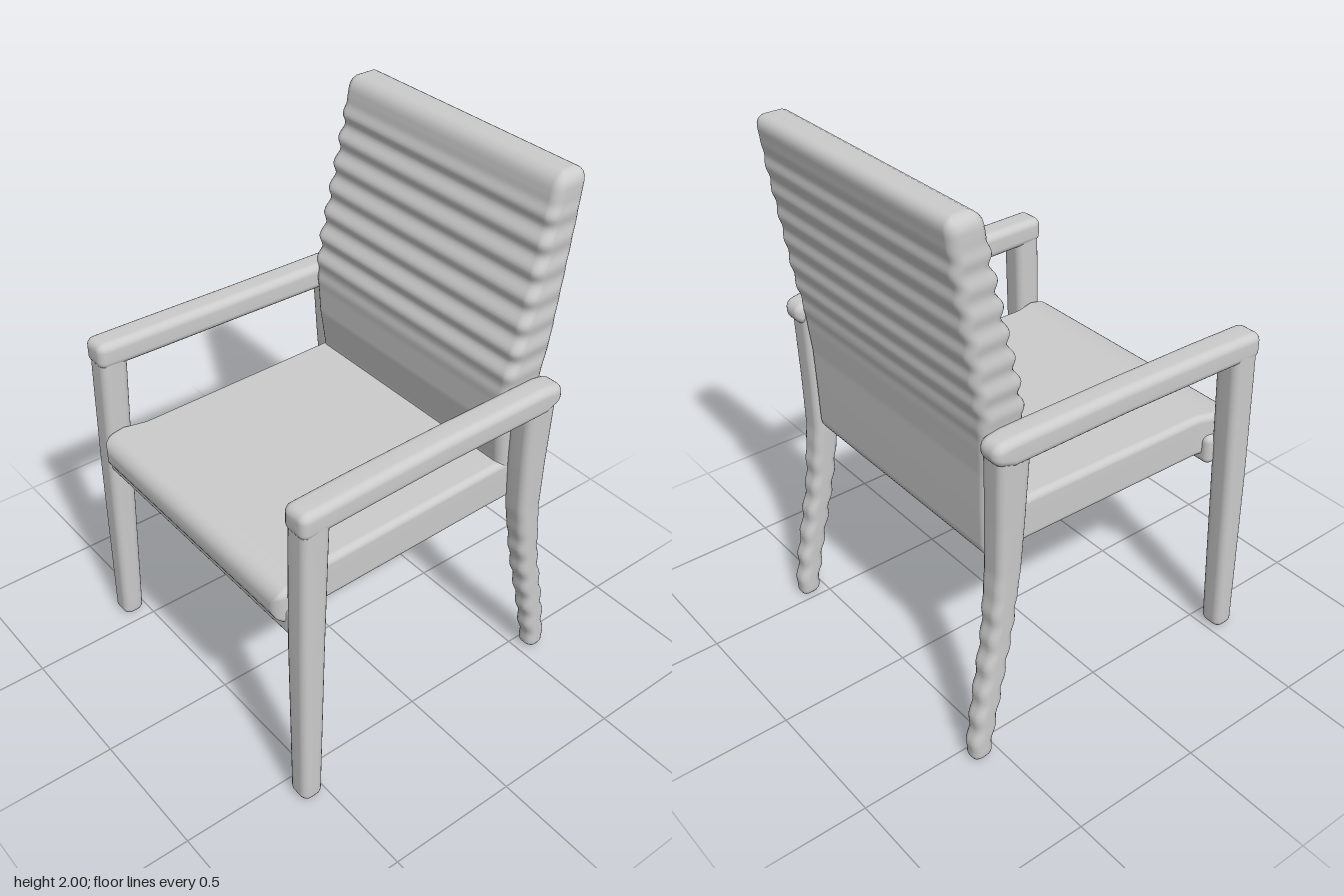
import * as THREE from 'three';

const material = new THREE.MeshStandardMaterial({ color: 0xcccccc });
const ARC = 5; // segments per rounded corner

// Rounded rectangle [a0,a1] x [b0,b1] as a counter-clockwise list of points.
function roundedRect([a0, a1, b0, b1], r) {
  const points = [];
  const corners = [[a1 - r, b1 - r], [a0 + r, b1 - r], [a0 + r, b0 + r], [a1 - r, b0 + r]];
  corners.forEach(([a, b], c) => {
    for (let i = 0; i <= ARC; i++) {
      const angle = (c + i / ARC) * Math.PI / 2;
      points.push([a + r * Math.cos(angle), b + r * Math.sin(angle)]);
    }
  });
  return points;
}

// Interpolates rows of [t, ...values] at t.
function sample(rows, t) {
  let i = 0;
  while (i < rows.length - 2 && t > rows[i + 1][0]) i++;
  const p = rows[i], q = rows[i + 1];
  const k = (t - p[0]) / (q[0] - p[0]);
  return p.slice(1).map((v, j) => v + (q[j + 1] - v) * k);
}

// Soft-ended solid through sections [t, a0, a1, b0, b1].
// Along 'y', a is z and b is x; along 'z', a is x and b is y.
function loft(name, axis, rows, r, steps = 24, shape = (box) => box, endR = r) {
  const start = rows[0][0], end = rows[rows.length - 1][0];
  const rings = [];
  const addRing = (t, inset) => {
    const [a0, a1, b0, b1] = shape(sample(rows, t), t);
    const box = [a0 + inset, a1 - inset, b0 + inset, b1 - inset];
    rings.push({ t, points: roundedRect(box, Math.max(r - inset, 0.004)) });
  };
  const endRing = (s, from, dir) => {
    const angle = (s / ARC) * Math.PI / 2;
    addRing(from + dir * endR * (1 - Math.sin(angle)), endR * (1 - Math.cos(angle)));
  };
  for (let s = ARC; s >= 0; s--) endRing(s, start, 1);
  for (let i = 1; i < steps; i++) addRing(start + endR + (end - start - 2 * endR) * i / steps, 0);
  for (let s = 0; s <= ARC; s++) endRing(s, end, -1);

  const position = [], index = [];
  const put = (a, b, t) => position.push(...(axis === 'y' ? [b, t, a] : [a, b, t]));
  const n = rings[0].points.length;
  rings.forEach((ring) => ring.points.forEach(([a, b]) => put(a, b, ring.t)));
  for (let j = 0; j < rings.length - 1; j++) {
    for (let i = 0; i < n; i++) {
      const p = j * n + i, q = j * n + (i + 1) % n;
      index.push(p, q, q + n, p, q + n, p + n);
    }
  }
  // End caps
  [0, rings.length - 1].forEach((j) => {
    const pts = rings[j].points;
    const centre = position.length / 3;
    put(pts.reduce((s, p) => s + p[0], 0) / n, pts.reduce((s, p) => s + p[1], 0) / n, rings[j].t);
    for (let i = 0; i < n; i++) {
      const p = j * n + i, q = j * n + (i + 1) % n;
      if (j === 0) index.push(centre, q, p); else index.push(centre, p, q);
    }
  });
  const geometry = new THREE.BufferGeometry();
  geometry.setAttribute('position', new THREE.Float32BufferAttribute(position, 3));
  geometry.setIndex(index);
  geometry.computeVertexNormals();
  const mesh = new THREE.Mesh(geometry, material);
  mesh.name = name;
  return mesh;
}

// Mirrors the x range held in columns c and c + 1.
const mirrorRows = (rows, c) => rows.map((row) => {
  const out = [...row];
  out[c] = -row[c + 1];
  out[c + 1] = -row[c];
  return out;
});

export function createModel() {
  const chair = new THREE.Group();
  chair.name = 'armchair';

  // Seat cushion with a rounded front nose
  chair.add(loft('seat', 'z', [
    [-0.46, -0.5, 0.5, 0.775, 0.945],
    [-0.3, -0.5, 0.5, 0.775, 0.943],
    [0.45, -0.505, 0.505, 0.765, 0.93],
    [0.54, -0.53, 0.53, 0.77, 0.928],
    [0.622, -0.53, 0.53, 0.79, 0.91],
  ], 0.025, 24, undefined, 0.045));

  // Rail under the front edge
  chair.add(loft('frontRail', 'z', [
    [0.47, -0.54, 0.54, 0.735, 0.85],
    [0.59, -0.55, 0.55, 0.735, 0.85],
  ], 0.025, 6));

  // Reclined back with horizontal channels above the lumbar area
  const channels = ([z0, z1, x0, x1], y) => {
    const fade = THREE.MathUtils.smoothstep(y, 1.18, 1.35) * (1 - THREE.MathUtils.smoothstep(y, 1.84, 1.93));
    const wave = Math.sin((y - 1.2) * Math.PI * 2 / 0.092) * fade;
    return [z0 + 0.005 * wave, z1 + 0.008 * wave, x0 - 0.003 * wave, x1 + 0.003 * wave];
  };
  chair.add(loft('back', 'y', [
    [0.765, -0.485, -0.37, -0.5, 0.5],
    [0.95, -0.49, -0.358, -0.5, 0.5],
    [1.1, -0.493, -0.338, -0.505, 0.505],
    [1.28, -0.507, -0.338, -0.52, 0.52],
    [1.4, -0.53, -0.36, -0.525, 0.525],
    [1.6, -0.56, -0.408, -0.525, 0.525],
    [1.8, -0.592, -0.452, -0.522, 0.522],
    [2.0, -0.62, -0.49, -0.52, 0.52],
  ], 0.035, 110, channels, 0.045));

  // Sides: left first, then its mirror image
  const frontLeg = [
    [0, 0.517, 0.6, 0.535, 0.628],
    [0.7, 0.497, 0.596, 0.525, 0.628],
    [1.1, 0.482, 0.588, 0.522, 0.627],
    [1.27, 0.475, 0.583, 0.522, 0.627],
  ];
  const rearLeg = [
    [0, -0.612, -0.535, 0.51, 0.585],
    [0.2, -0.585, -0.497, 0.507, 0.585],
    [0.5, -0.525, -0.435, 0.493, 0.583],
    [0.75, -0.5, -0.4, 0.483, 0.585],
    [0.95, -0.5, -0.388, 0.485, 0.59],
    [1.26, -0.505, -0.375, 0.495, 0.6],
  ];
  const armrest = [
    [-0.525, 0.505, 0.602, 1.2, 1.268],
    [-0.45, 0.503, 0.607, 1.175, 1.28],
    [0, 0.507, 0.612, 1.18, 1.282],
    [0.35, 0.513, 0.622, 1.18, 1.282],
    [0.592, 0.52, 0.63, 1.18, 1.28],
  ];
  const legRipple = ([z0, z1, x0, x1], y) => {
    const wave = 0.005 * Math.sin(y * Math.PI * 2 / 0.105) * (1 - THREE.MathUtils.smoothstep(y, 0.5, 0.75));
    return [z0 + wave, z1 + wave, x0, x1];
  };
  for (const side of ['left', 'right']) {
    const place = (rows, c) => (side === 'left' ? rows : mirrorRows(rows, c));
    chair.add(
      loft(side + 'FrontLeg', 'y', place(frontLeg, 3), 0.03),
      loft(side + 'RearLeg', 'y', place(rearLeg, 3), 0.03, 70, legRipple),
      loft(side + 'Armrest', 'z', place(armrest, 1), 0.03),
    );
  }
  return chair;
}
